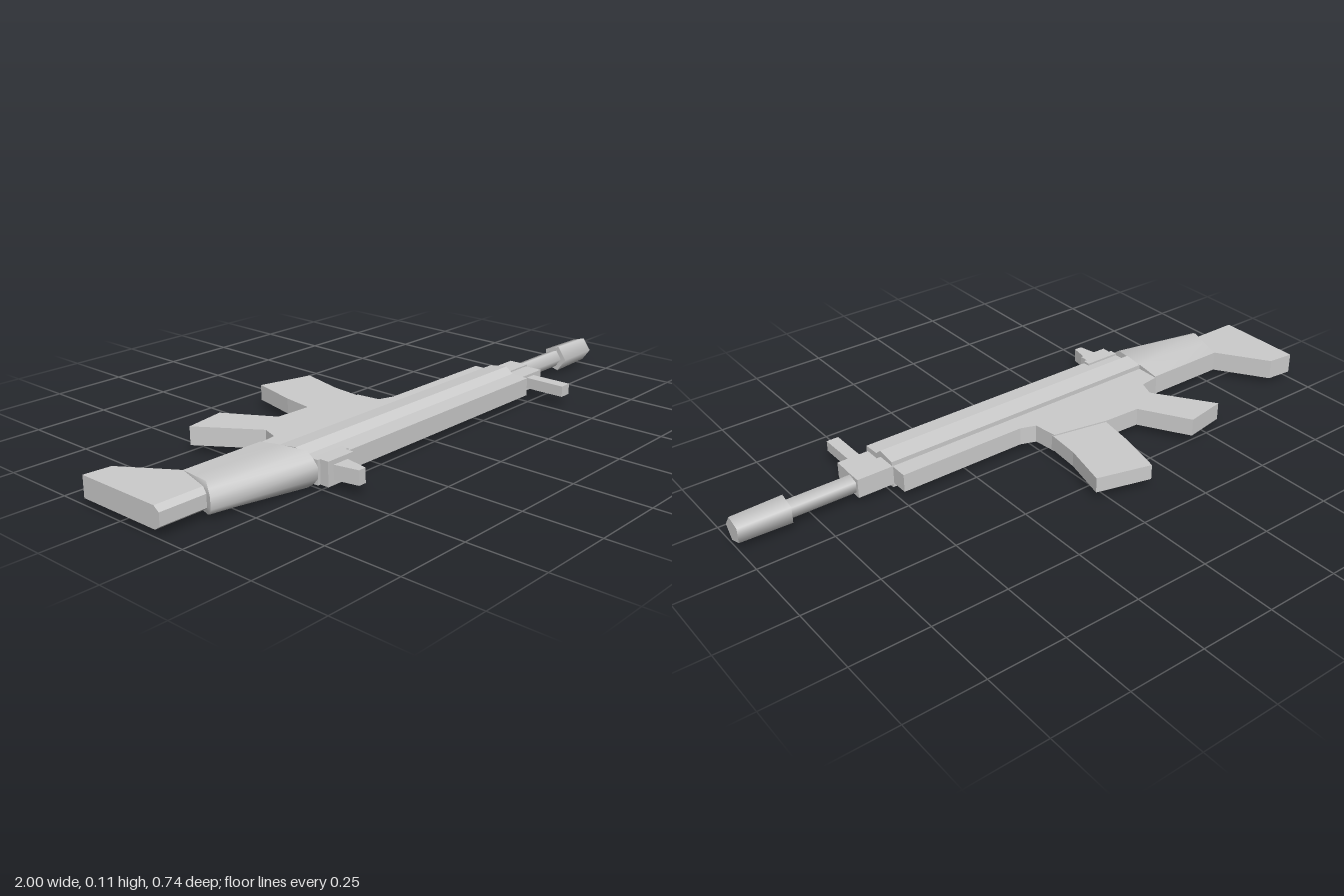
import * as THREE from 'three';
import { toCreasedNormals } from 'three/addons/utils/BufferGeometryUtils.js';

const MID = 0.056; // height of the symmetry plane (the rifle lies on its side)

export function createModel() {
  const group = new THREE.Group();
  const material = new THREE.MeshStandardMaterial({ color: 0xcccccc });

  const add = (name, geometry) => {
    const mesh = new THREE.Mesh(geometry, material);
    mesh.name = name;
    group.add(mesh);
    return mesh;
  };

  // Flat plate from an outline of [x, z] points, centred on the symmetry plane
  const plate = (name, outline, half) => {
    const shape = new THREE.Shape(outline.map(([x, z]) => new THREE.Vector2(x, -z)));
    const g = new THREE.ExtrudeGeometry(shape, { depth: 2 * half, bevelEnabled: false });
    g.rotateX(-Math.PI / 2).translate(0, MID - half, 0);
    return add(name, g);
  };

  // Bar along x from a mirrored section of [z, half width] points
  const bar = (name, section, x0, x1) => {
    const top = section.map(([z, w]) => new THREE.Vector2(-z, MID + w));
    const bottom = section.map(([z, w]) => new THREE.Vector2(-z, MID - w)).reverse();
    const g = new THREE.ExtrudeGeometry(new THREE.Shape([...top, ...bottom]), { depth: x1 - x0, bevelEnabled: false });
    g.rotateY(Math.PI / 2).translate(x0, 0, 0);
    return add(name, g);
  };

  const box = (name, x0, x1, z0, z1, half) =>
    add(name, new THREE.BoxGeometry(x1 - x0, 2 * half, z1 - z0).translate((x0 + x1) / 2, MID, (z0 + z1) / 2));

  // Five-sided tube along x
  const tube = (name, x0, x1, r0, r1, z) =>
    add(name, new THREE.CylinderGeometry(r1, r0, x1 - x0, 5).rotateZ(-Math.PI / 2).translate((x0 + x1) / 2, MID, z));

  // Lower receiver with magazine well and pistol grip
  plate('lowerReceiver', [
    [-0.52, 0.02], [-0.45, 0.01], [-0.43, -0.045], [-0.56, -0.237], [-0.42, -0.262], [-0.325, -0.1],
    [-0.2, -0.095], [-0.01, -0.06], [0, 0.02], [0.05, 0.038], [0.488, 0.038], [0.488, 0.12], [-0.52, 0.12],
  ], 0.03);

  // Curved magazine
  plate('magazine', [
    [-0.2, -0.05], [-0.195, -0.1], [-0.178, -0.21], [-0.14, -0.373], [0.04, -0.325], [0.003, -0.17], [-0.008, -0.05],
  ], 0.0255);

  // Upper receiver with its shoulders and narrower top
  bar('upperReceiver', [[0.1, 0.045], [0.165, 0.054], [0.19, 0.033], [0.25, 0.03]], -0.515, 0.49);

  // Tapered stock, lofted from a slanted rear section to the receiver
  add('stock', loft(
    [[-0.8, 0.02, 0.034], [-0.815, 0.09, 0.042], [-0.83, 0.15, 0.048], [-0.845, 0.175, 0.036], [-0.85, 0.187, 0.018]],
    [[-0.515, 0.02, 0.034], [-0.515, 0.1, 0.046], [-0.515, 0.21, 0.055], [-0.515, 0.235, 0.036], [-0.515, 0.25, 0.018]],
  ));

  // Butt with a chamfered upper edge
  plate('butt', [[-1, -0.155], [-0.91, -0.147], [-0.8, 0.02], [-0.8, 0.145], [-1, 0.145]], 0.034);
  bar('buttTop', [[0.145, 0.034], [0.165, 0.02]], -1, -0.83);

  // Barrel assembly
  box('gasBlock', 0.485, 0.612, 0.097, 0.165, 0.032);
  tube('barrel', 0.6, 0.84, 0.03, 0.03, 0.133);
  tube('muzzle', 0.83, 1, 0.046, 0.042, 0.136);

  // Front sight
  box('frontSightBase', 0.5, 0.607, 0.16, 0.225, 0.027);
  box('frontSightPost', 0.524, 0.565, 0.22, 0.367, 0.018);

  // Rear sight with tapered post
  box('rearSightBase', -0.515, -0.39, 0.225, 0.25, 0.038);
  box('rearSightBlock', -0.505, -0.402, 0.25, 0.28, 0.038);
  plate('rearSightPost', [[-0.484, 0.275], [-0.425, 0.275], [-0.44, 0.36], [-0.467, 0.36]], 0.023);

  return group;
}

// Closed loft between two mirrored half sections of [x, z, half width], rear to front
function loft(rearHalf, frontHalf) {
  const ring = (half) => [
    ...half.map(([x, z, w]) => [x, MID + w, z]),
    ...half.map(([x, z, w]) => [x, MID - w, z]).reverse(),
  ];
  const r = ring(rearHalf), f = ring(frontHalf), v = [];
  for (let i = 0; i < r.length; i++) {
    const j = (i + 1) % r.length;
    v.push(f[i], r[i], r[j], f[i], r[j], f[j]);
    if (i > 0 && j > 0) v.push(f[0], f[i], f[j], r[0], r[j], r[i]);
  }
  const g = new THREE.BufferGeometry();
  g.setAttribute('position', new THREE.Float32BufferAttribute(v.flat(), 3));
  return toCreasedNormals(g, 0.9);
}
